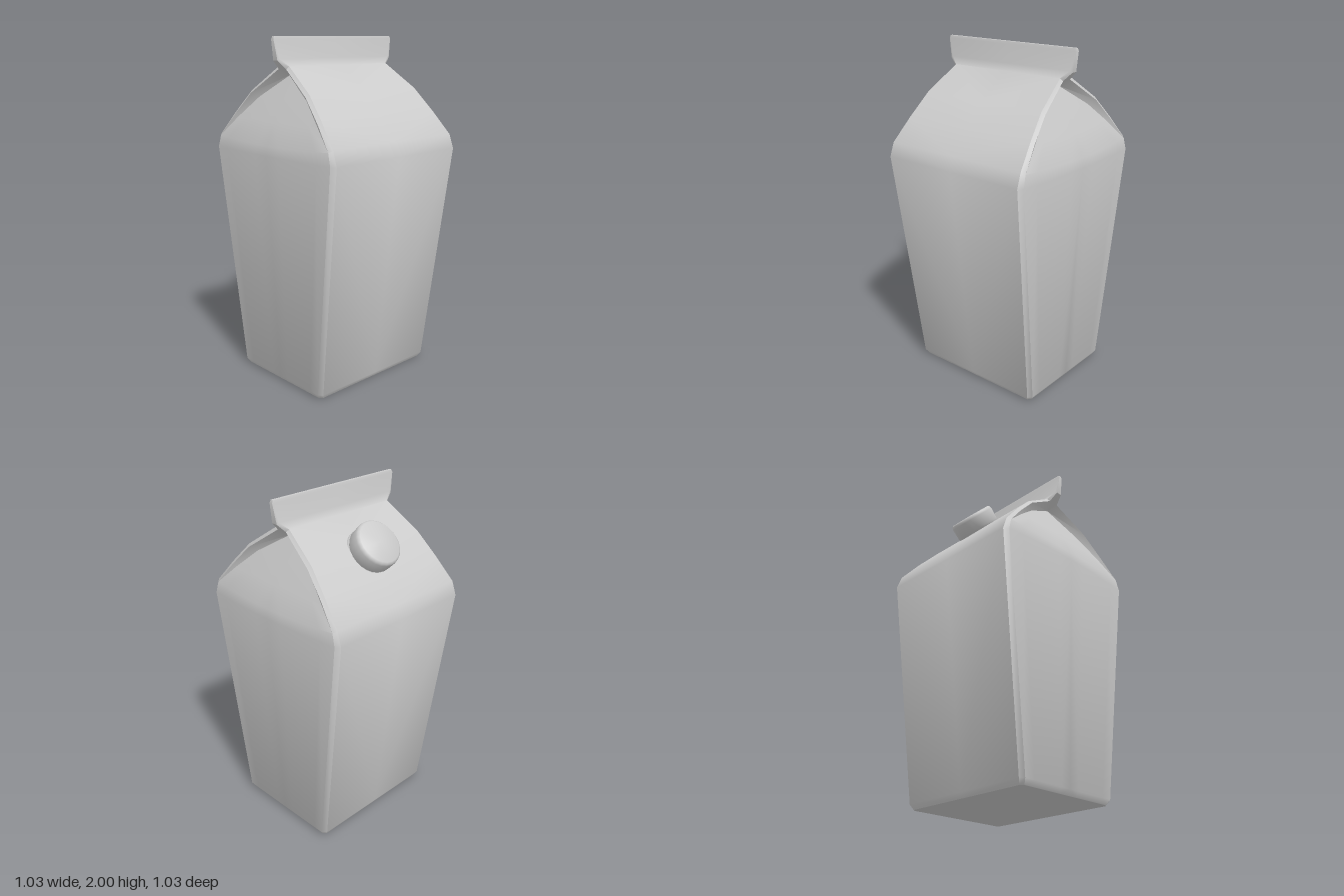
import * as THREE from 'three';
import { toCreasedNormals } from 'three/addons/utils/BufferGeometryUtils.js';

const grey = () => new THREE.MeshStandardMaterial({ color: 0xcccccc });

// Adds a grid of points as triangles, mirrored into all four quarters
function addMirrored(out, rows) {
  const tri = (a, b, c, sx, sz) => {
    const order = sx * sz > 0 ? [a, b, c] : [a, c, b];
    const pts = order.map(([x, y, z]) => new THREE.Vector3(x * sx, y, z * sz));
    if (new THREE.Triangle(...pts).getArea() < 1e-7) return;
    pts.forEach((p) => out.push(p.x, p.y, p.z));
  };
  for (const sx of [1, -1]) for (const sz of [1, -1]) {
    for (let r = 0; r + 1 < rows.length; r++) {
      for (let c = 0; c + 1 < rows[r].length; c++) {
        const [a, b, d, e] = [rows[r][c], rows[r][c + 1], rows[r + 1][c], rows[r + 1][c + 1]];
        tri(a, b, e, sx, sz);
        tri(a, e, d, sx, sz);
      }
    }
  }
}

function cartonGeometry() {
  const out = [];
  // Panel levels: y, panel z, panel half width, then the outer chamfer corner x, y, z
  const levels = [
    [0, 0.335, 0.405, 0.422, 0, 0.318],
    [0.03, 0.355, 0.42, 0.442, 0.03, 0.333],
    [1.36, 0.515, 0.468, 0.49, 1.36, 0.49],
    [1.44, 0.487, 0.466, 0.485, 1.43, 0.47],
    [1.57, 0.375, 0.44, 0.457, 1.557, 0.362],
    [1.70, 0.25, 0.413, 0.43, 1.686, 0.238],
    [1.84, 0.045, 0.378, 0.39, 1.825, 0.032],
    [1.88, 0.021, 0.425, 0.438, 1.872, 0.018],
    [1.985, 0.013, 0.445, 0.456, 1.985, 0.01],
    [2, 0.009, 0.44, 0.45, 2, 0.007],
  ];
  const panel = levels.map(([y, z, w, cx, cy, cz]) => [[0, y, z], [w, y, z], [cx, cy, cz]]);
  const edge = panel.map((row) => row[2]);

  // Front and back panels, roof slopes and seal, with their chamfers
  addMirrored(out, panel);

  // Half a side panel row, bulging towards its middle
  const steps = 5;
  const across = ([x, y, z], bulge, dip = 0) => Array.from({ length: steps + 1 }, (_, i) => {
    const t = 1 - i / steps, k = 1 - t * t;
    return [x + bulge * k, y - dip * k, z * t];
  });
  addMirrored(out, [
    across(edge[0], 0), across(edge[1], 0), across(edge[2], 0.025), across(edge[3], 0.022, 0.015),
  ]);

  // Folded-in gable triangles
  const fold = [edge[3], [0.445, 1.545, 0.345], [0.395, 1.665, 0.205], [0.34, 1.79, 0]];
  const foldBulge = [0.022, 0.008, 0.002, 0];
  addMirrored(out, fold.map((p, i) => across(p, foldBulge[i], i ? 0 : 0.015)));

  // Underside strips between roof edge and gable
  addMirrored(out, fold.map((p, i) => [edge[i + 3], p]));

  // Ends of the top seal, closed down to the gable tip
  const ends = edge.slice(6).map((p) => [p, [p[0], p[1], 0]]);
  addMirrored(out, [[fold[3], fold[3]], ...ends]);

  // Seal top and carton base
  const top = panel[panel.length - 1], base = panel[0];
  const centre = (row) => row.map(([x, y]) => [x, y, 0]);
  addMirrored(out, [top, centre(top)]);
  addMirrored(out, [centre(base), base]);

  const g = new THREE.BufferGeometry();
  g.setAttribute('position', new THREE.Float32BufferAttribute(out, 3));
  return toCreasedNormals(g, 0.6);
}

export function createModel() {
  const model = new THREE.Group();
  model.name = 'carton';

  const body = new THREE.Mesh(cartonGeometry(), grey());
  body.name = 'cartonBody';
  model.add(body);

  // Round screw cap, standing square to the rear roof slope
  const profile = [
    [0.138, -0.03], [0.138, 0.012], [0.131, 0.022], [0.136, 0.034],
    [0.138, 0.1], [0.134, 0.114], [0.124, 0.122], [0, 0.124],
  ].map(([r, y]) => new THREE.Vector2(r, y));
  const cap = new THREE.Mesh(toCreasedNormals(new THREE.LatheGeometry(profile, 24), 0.7), grey());
  cap.name = 'screwCap';
  cap.position.set(0, 1.668, -0.25);
  cap.rotation.x = -Math.PI / 4;
  model.add(cap);

  return model;
}
